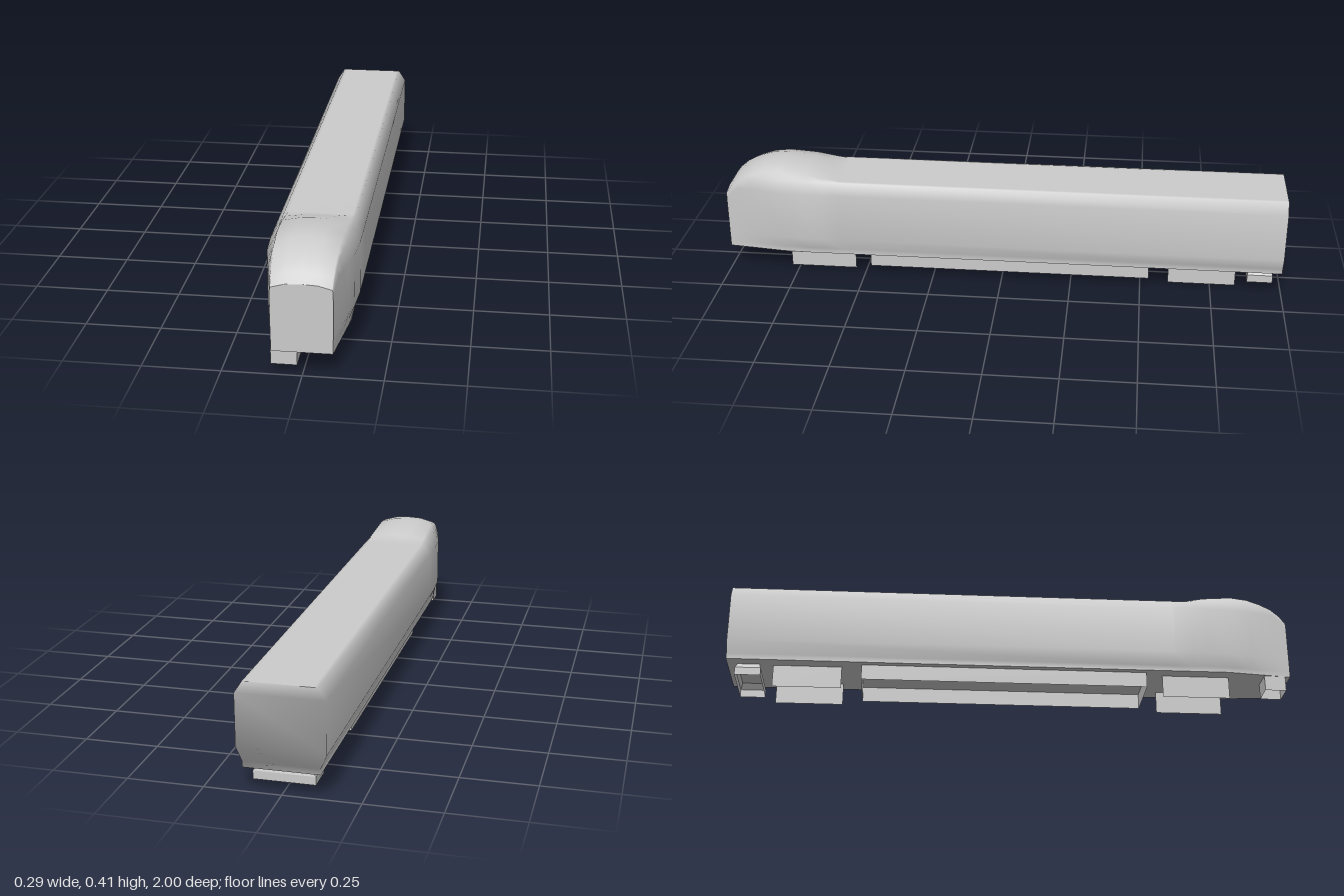
import * as THREE from 'three';

const sheet = new THREE.MeshStandardMaterial({ color: 0xcccccc, side: THREE.DoubleSide });

// Stations along the hull: [z, roof height, drop from roof centre to roof edge]
const STATIONS = [
  [-1, 0.36, 0], [0.58, 0.36, 0], [0.64, 0.378, 0.009], [0.7, 0.394, 0.014],
  [0.8, 0.405, 0.017], [0.86, 0.399, 0.017], [0.91, 0.383, 0.017],
  [0.95, 0.362, 0.016], [0.98, 0.336, 0.015], [1, 0.307, 0.014],
];

// Cross-section from the +x sill over the roof to the -x sill
function section([z, h, drop]) {
  const t = Math.max(0, (z - 0.77) / 0.23); // nose taper
  const mix = (a, b) => a + (b - a) * t;
  const edge = h - drop;
  const shoulder = Math.min(0.36, edge - drop * 0.5);
  const half = [
    [mix(0.123, 0.095), 0.08], [mix(0.123, 0.095), 0.1], [mix(0.143, 0.096), 0.145],
    [mix(0.143, 0.096), Math.min(0.32, shoulder - 0.02)],
    [mix(0.117, 0.095), shoulder], [mix(0.105, 0.093), edge], [0.05, h - drop * 0.15],
  ];
  const mirrored = half.map(([x, y]) => [-x, y]).reverse();
  return [...half, [0, h], ...mirrored].map(([x, y]) => [x, y, z]);
}

function hullGeometry() {
  const rings = STATIONS.map(section);
  const n = rings[0].length;
  const pos = rings.flat(2);
  const index = [];
  const quad = (a, b, c, d) => index.push(a, b, c, a, c, d);
  for (let i = 0; i < rings.length - 1; i++) {
    for (let j = 0; j < n - 1; j++) {
      const a = i * n + j;
      quad(a, a + 1, a + n + 1, a + n);
    }
  }
  // End caps: the rear blends into the sides, the front has its own crisp edge
  const front = rings.length * n;
  pos.push(...rings[rings.length - 1].flat());
  for (let j = 0; j < (n - 1) / 2; j++) {
    const k = n - 1 - j;
    quad(k, k - 1, j + 1, j);
    quad(front + j, front + j + 1, front + k - 1, front + k);
  }
  const geo = new THREE.BufferGeometry();
  geo.setAttribute('position', new THREE.Float32BufferAttribute(pos, 3));
  geo.setIndex(index);
  geo.computeVertexNormals();
  return geo;
}

// Four upright walls, open above and below; topScale narrows the upper rim
function walls(name, x0, x1, y0, y1, z0, z1, topScale = 1) {
  const r = Math.SQRT1_2;
  const geo = new THREE.CylinderGeometry(r * topScale, r, 1, 4, 1, true).toNonIndexed();
  geo.rotateY(Math.PI / 4);
  geo.scale(x1 - x0, y1 - y0, z1 - z0);
  geo.translate((x0 + x1) / 2, (y0 + y1) / 2, (z0 + z1) / 2);
  geo.computeVertexNormals();
  const mesh = new THREE.Mesh(geo, sheet);
  mesh.name = name;
  return mesh;
}

export function createModel() {
  const model = new THREE.Group();
  model.name = 'locomotive';

  // Body with raised cab and tapered nose
  const hull = new THREE.Mesh(hullGeometry(), new THREE.MeshStandardMaterial({ color: 0xcccccc }));
  hull.name = 'body';
  model.add(hull);

  // Flat floor closing the body
  const outline = [[-0.123, -1], [0.123, -1], [0.123, 0.77], [0.095, 1], [-0.095, 1], [-0.123, 0.77]];
  const floorGeo = new THREE.ShapeGeometry(new THREE.Shape(outline.map(([x, z]) => new THREE.Vector2(x, z))));
  floorGeo.rotateX(Math.PI / 2);
  const floor = new THREE.Mesh(floorGeo, sheet);
  floor.name = 'underside';
  floor.position.y = 0.08;
  model.add(floor);

  // Bogie side plates
  for (const z of [0.66, -0.72]) {
    for (const side of [1, -1]) {
      const plate = new THREE.Mesh(new THREE.PlaneGeometry(0.24, 0.08), sheet);
      plate.name = 'bogieSidePlate';
      plate.rotation.y = side * Math.PI / 2;
      plate.position.set(side * 0.075, 0.04, z);
      model.add(plate);
    }
  }

  // Underfloor tank, front coupling housing and rear buffer housing
  model.add(walls('fuelTank', -0.1, 0.1, 0.025, 0.08, -0.53, 0.48));
  model.add(walls('frontCoupling', -0.1, -0.018, 0.025, 0.08, 0.905, 0.98));
  model.add(walls('rearBuffer', -0.1, 0.1, 0.03, 0.058, -0.97, -0.88));
  model.add(walls('rearBufferMount', -0.1, 0.1, 0.058, 0.078, -0.97, -0.88, 0.85));
  return model;
}
